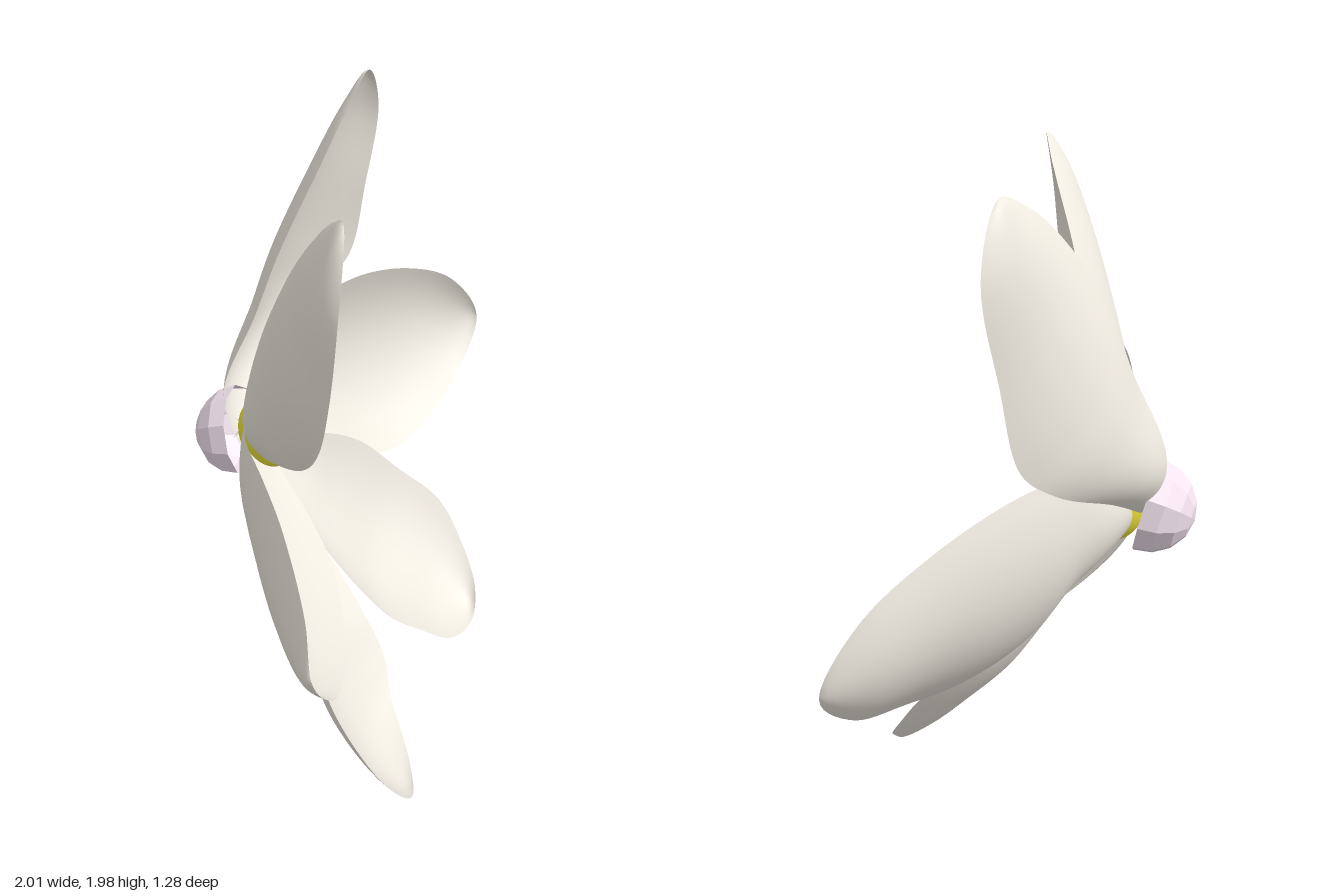
import * as THREE from 'three';

const petalMaterial = new THREE.MeshStandardMaterial({ color: 0xefeae0, side: THREE.DoubleSide });
const BASE = new THREE.Vector3(-0.28, 0.91, -0.45);
const FACING = new THREE.Vector3(0.5, 0.2, 0.78).normalize();

// One cupped petal: its rim runs up the left edge, round the tip and down the right edge.
function petal(name, cup, left, tip, right) {
  const along = new THREE.Vector3(...tip).sub(BASE).normalize();
  // the root reaches past the middle, into the stem knob, so that the petals overlap there
  const root = BASE.clone().addScaledVector(along, -0.07);
  const edge = [...left, tip, ...[...right].reverse()].map(p => new THREE.Vector3(...p));
  const rim = new THREE.CatmullRomCurve3([root, ...edge, root], false, 'centripetal');
  const geo = new THREE.PlaneGeometry(1, 1, 20, 48);
  const pos = geo.attributes.position;
  for (let i = 0; i < pos.count; i++) {
    const s = pos.getX(i) * 2;
    const v = THREE.MathUtils.clamp(pos.getY(i) + 0.5, 0, 1);
    const l = rim.getPoint(v / 2), r = rim.getPoint(1 - v / 2);
    // bulge away from the face, in proportion to the local width
    const bulge = r.clone().sub(l).cross(along).multiplyScalar(-cup * (1 - s * s));
    const p = l.lerp(r, (s + 1) / 2).add(bulge);
    pos.setXYZ(i, p.x, p.y, p.z);
  }
  geo.computeVertexNormals();
  const mesh = new THREE.Mesh(geo, petalMaterial);
  mesh.name = name;
  return mesh;
}

export function createModel() {
  const flower = new THREE.Group();
  flower.name = 'flower';

  flower.add(
    petal('upperLeftPetal', 0.18,
      [[-0.34, 1.06, -0.49], [-0.25, 1.35, -0.41], [-0.18, 1.58, -0.35], [0, 1.8, -0.35], [0.19, 1.93, -0.41]],
      [0.35, 1.98, -0.48],
      [[-0.01, 1.04, -0.59], [0.26, 1.17, -0.635], [0.38, 1.27, -0.62], [0.43, 1.52, -0.59], [0.46, 1.8, -0.55]]),
    petal('upperRightPetal', 0.18,
      [[-0.41, 0.98, -0.2], [-0.5, 1.12, 0.06], [-0.57, 1.3, 0.22], [-0.59, 1.5, 0.29], [-0.58, 1.74, 0.32]],
      [-0.46, 1.95, 0.23],
      [[-0.23, 1.07, -0.46], [-0.2, 1.38, -0.36], [-0.19, 1.58, -0.25], [-0.25, 1.72, -0.12], [-0.36, 1.89, 0.09]]),
    petal('rightPetal', 0.22,
      [[-0.26, 0.78, -0.29], [-0.35, 0.67, 0], [-0.5, 0.64, 0.22], [-0.7, 0.69, 0.43], [-0.87, 0.81, 0.57]],
      [-1, 1.02, 0.63],
      [[-0.45, 1.1, -0.25], [-0.6, 1.21, -0.06], [-0.71, 1.24, 0.14], [-0.81, 1.22, 0.33], [-0.94, 1.13, 0.55]]),
    petal('lowerRightPetal', 0.14,
      [[-0.21, 0.73, -0.4], [-0.18, 0.42, -0.14], [-0.19, 0.3, 0], [-0.2, 0.18, 0.1], [-0.27, 0.11, 0.2]],
      [-0.42, 0.085, 0.43],
      [[-0.4, 0.79, -0.26], [-0.54, 0.72, -0.01], [-0.67, 0.65, 0.27], [-0.74, 0.56, 0.42], [-0.67, 0.29, 0.55], [-0.56, 0.14, 0.57]]),
    petal('lowerLeftPetal', 0.19,
      [[-0.1, 0.82, -0.41], [0.02, 0.77, -0.4], [0.18, 0.66, -0.38], [0.31, 0.5, -0.32], [0.42, 0.35, -0.21], [0.43, 0.2, -0.1], [0.39, 0.07, 0.01]],
      [0.3, 0.005, 0.08],
      [[-0.28, 0.77, -0.33], [-0.25, 0.55, -0.1], [-0.2, 0.41, 0.01], [-0.13, 0.29, 0.07], [-0.02, 0.18, 0.1], [0.12, 0.06, 0.13]]),
    petal('leftPetal', 0.18,
      [[-0.15, 1.0, -0.47], [0.02, 1.09, -0.52], [0.17, 1.17, -0.57], [0.37, 1.18, -0.59], [0.65, 1.11, -0.59], [0.88, 0.98, -0.57]],
      [1, 0.78, -0.54],
      [[-0.12, 0.78, -0.46], [0.1, 0.67, -0.44], [0.28, 0.54, -0.41], [0.43, 0.51, -0.41], [0.65, 0.55, -0.44], [0.87, 0.63, -0.5]])
  );

  // Smooth oval centre
  const centre = new THREE.Mesh(
    new THREE.SphereGeometry(1, 32, 20), new THREE.MeshStandardMaterial({ color: 0xf0e63c }));
  centre.name = 'centre';
  centre.scale.set(0.105, 0.135, 0.09);
  centre.position.set(-0.244, 0.91, -0.395);
  centre.lookAt(centre.position.clone().add(FACING));
  centre.rotateZ(0.2);

  // Faceted stem knob behind the petals: its pole points backwards and its front is left open under them
  const knob = new THREE.Mesh(
    new THREE.SphereGeometry(0.155, 10, 4, 0, Math.PI * 2, 0, Math.PI * 0.5),
    new THREE.MeshStandardMaterial({ color: 0xf4e4f0, flatShading: true, side: THREE.DoubleSide }));
  knob.name = 'stemKnob';
  knob.position.set(-0.29, 0.905, -0.47);
  knob.quaternion.setFromUnitVectors(new THREE.Vector3(0, -1, 0), FACING);

  flower.add(centre, knob);
  return flower;
}
